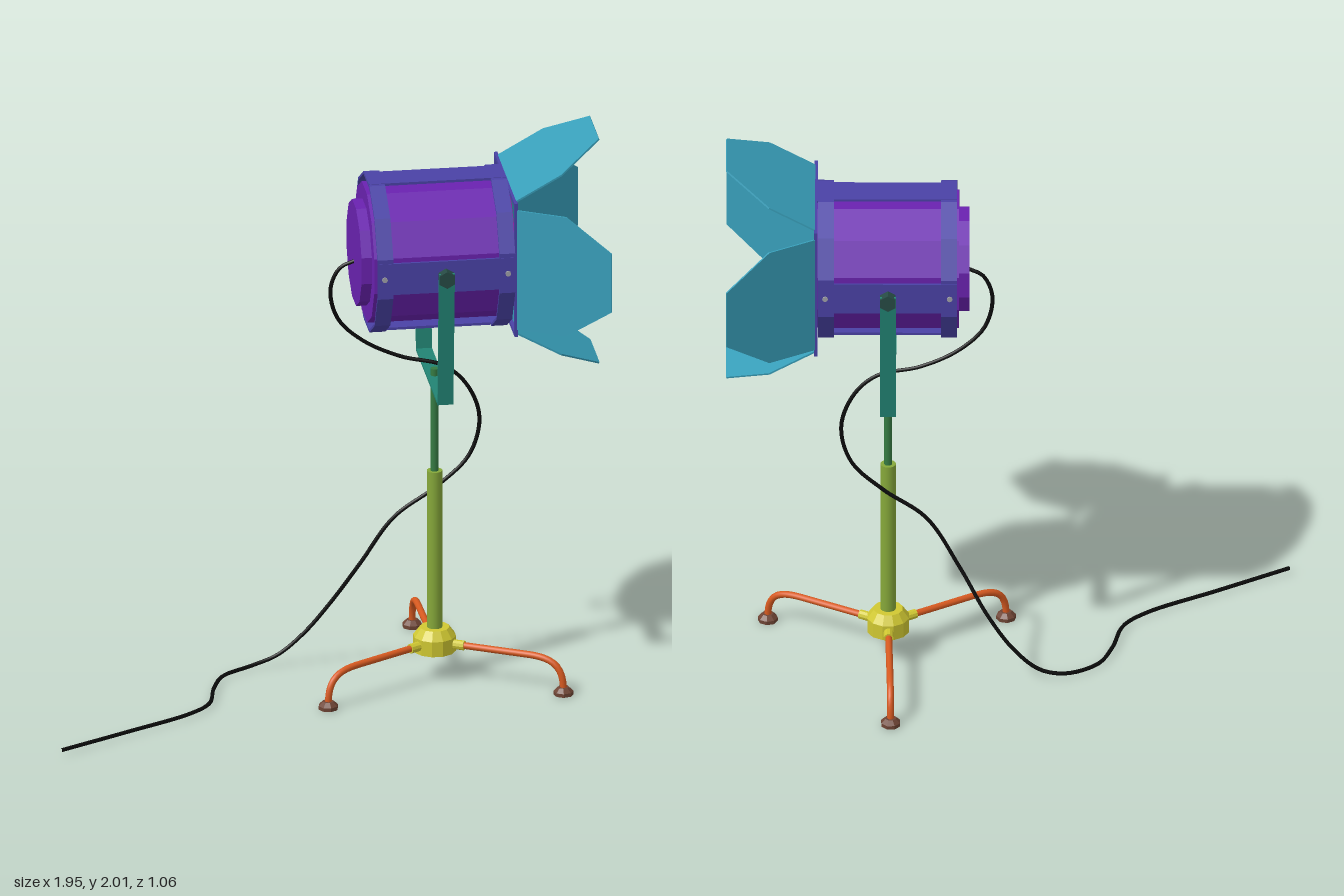
import * as THREE from 'three';

const mat = (color, flatShading = true) =>
  new THREE.MeshStandardMaterial({ color, flatShading });

const C = {
  housing: mat(0x6a22b0), frame: mat(0x4a42a6), lens: mat(0x961098), door: mat(0x389fba),
  yoke: mat(0x228474), bolt: mat(0x264a44), screw: mat(0xa0a0a8), tube: mat(0x86a83a, false),
  rod: mat(0x357a42, false), hub: mat(0xd0c832), leg: mat(0xd85a20, false),
  foot: mat(0x6e4434), cable: mat(0x0a0a0a, false),
};

function add(parent, name, geometry, material, x = 0, y = 0, z = 0) {
  const m = new THREE.Mesh(geometry, material);
  m.name = name;
  m.position.set(x, y, z);
  parent.add(m);
  return m;
}

// Turned shape from [radius, height] pairs; radius is measured to the flats
function turned(pairs, sides, flatsOnAxis = true) {
  const k = 1 / Math.cos(Math.PI / sides);
  const pts = pairs.map(([r, h]) => new THREE.Vector2(r * k, h));
  return new THREE.LatheGeometry(pts, sides, flatsOnAxis ? Math.PI / sides : 0);
}
const turnedX = (...args) => turned(...args).rotateZ(-Math.PI / 2);

function createLamp() {
  const lamp = new THREE.Group();
  lamp.name = 'lampHead';

  // Twelve-sided housing with a smaller rear cap, and the lens
  add(lamp, 'housing', turnedX([[0, 0.132], [0.18, 0.132], [0.18, 0.168],
    [0.238, 0.168], [0.238, 0.66], [0, 0.66]], 12), C.housing);
  add(lamp, 'lens', turnedX([[0.222, 0.655], [0.22, 0.665], [0, 0.665]], 12, false), C.lens);

  // Hoops standing off the housing
  for (const [a, b] of [[0.175, 0.23], [0.6, 0.655]])
    add(lamp, 'hoop', turnedX([[0.262, a], [0.271, a], [0.271, b], [0.262, b], [0.262, a]], 12), C.frame);

  // Four sides: strap, front frame bar and barn door
  const L = 0.352, shape = new THREE.Shape([
    [0, -0.221], [0.183, -0.221], [L, -0.108], [L, 0.108], [0.183, 0.221], [0, 0.221],
  ].map(p => new THREE.Vector2(...p)));
  const doorGeo = new THREE.ExtrudeGeometry(shape, { depth: 0.006, bevelEnabled: false })
    .translate(0, 0, -0.003).rotateX(Math.PI / 2);
  for (let i = 0; i < 4; i++) {
    const side = new THREE.Group();
    side.name = 'lampSide';
    side.rotation.x = i * Math.PI / 2;
    lamp.add(side);
    add(side, 'strap', new THREE.BoxGeometry(0.48, 0.009, 0.115), C.frame, 0.415, 0.268, 0);
    add(side, 'frontFrameBar', new THREE.BoxGeometry(0.012, 0.014, 0.494), C.frame, 0.662, 0.24, 0);
    add(side, 'barnDoor', doorGeo, C.door, 0.664, 0.243, 0).rotation.z = Math.atan2(0.172, 0.307);
    // Screws on the two straps beside the yoke
    if (i % 2) for (const x of [0.2, 0.63])
      add(side, 'screw', new THREE.CylinderGeometry(0.01, 0.01, 0.006, 8), C.screw, x, 0.274, 0);
  }
  return lamp;
}

function createYoke() {
  const yoke = new THREE.Group();
  yoke.name = 'yoke';
  add(yoke, 'yokeBase', new THREE.BoxGeometry(0.055, 0.009, 0.52), C.yoke, 0, 1.115, 0);
  for (const s of [-1, 1]) {
    add(yoke, 'yokeArm', new THREE.BoxGeometry(0.055, 0.5, 0.009), C.yoke, 0, 1.36, s * 0.276)
      .rotation.x = s * 0.076;
    add(yoke, 'pivotBolt', new THREE.CylinderGeometry(0.031, 0.031, 0.04, 6).rotateX(Math.PI / 2),
      C.bolt, 0, 1.59, s * 0.288);
  }
  return yoke;
}

function createStand() {
  const stand = new THREE.Group();
  stand.name = 'stand';
  add(stand, 'innerPole', new THREE.CylinderGeometry(0.014, 0.014, 0.4, 16), C.rod, 0, 0.945, 0);
  add(stand, 'outerPole', new THREE.CylinderGeometry(0.027, 0.027, 0.6, 16), C.tube, 0, 0.466, 0);
  add(stand, 'hub', turned([[0, 0.1], [0.072, 0.1], [0.072, 0.155], [0.05, 0.186], [0, 0.186]], 12), C.hub);

  // Leg path: straight out, then bent down to the foot
  const V = (x, y) => new THREE.Vector3(x, y, 0);
  const path = new THREE.CurvePath();
  path.add(new THREE.LineCurve3(V(0.05, 0.13), V(0.34, 0.13)));
  path.add(new THREE.CubicBezierCurve3(V(0.34, 0.13), V(0.43, 0.13), V(0.475, 0.11), V(0.475, 0.015)));
  const legGeo = new THREE.TubeGeometry(path, 28, 0.012, 10);
  for (let i = 0; i < 3; i++) {
    const leg = new THREE.Group();
    leg.name = 'leg';
    leg.rotation.y = Math.PI / 2 + 0.02 + i * Math.PI * 2 / 3;
    stand.add(leg);
    add(leg, 'legTube', legGeo, C.leg);
    add(leg, 'legCollar', new THREE.CylinderGeometry(0.017, 0.017, 0.05, 10).rotateZ(Math.PI / 2),
      C.hub, 0.085, 0.13, 0);
    add(leg, 'foot', turned([[0, 0], [0.032, 0], [0.032, 0.013], [0.018, 0.028], [0, 0.028]], 8),
      C.foot, 0.475, 0, 0);
  }
  return stand;
}

export function createModel() {
  const model = new THREE.Group();
  model.name = 'studioLamp';

  const lamp = createLamp();
  lamp.position.set(0, 1.59, -0.026);
  const yoke = createYoke(), stand = createStand();
  for (const g of [yoke, stand]) g.position.set(0.413, 0, -0.026);
  model.add(lamp, yoke, stand);

  // Power cable from the rear cap down to the floor
  const cable = new THREE.CatmullRomCurve3([
    [0.14, 1.557, -0.035], [0.085, 1.53, -0.04], [0.053, 1.45, -0.048], [0.08, 1.335, -0.058],
    [0.17, 1.245, -0.064], [0.3, 1.18, -0.065], [0.45, 1.14, -0.058], [0.53, 1.065, -0.058],
    [0.575, 0.94, -0.066], [0.54, 0.8, -0.07], [0.43, 0.69, -0.073], [0.28, 0.58, -0.08],
    [0.165, 0.4, -0.112], [0.07, 0.24, -0.165], [-0.02, 0.12, -0.192], [-0.11, 0.043, -0.198],
    [-0.2, 0.016, -0.18], [-0.31, 0.012, -0.11], [-0.36, 0.012, 0], [-0.4, 0.013, 0.15],
    [-0.48, 0.014, 0.235], [-0.72, 0.016, 0.378], [-0.97, 0.02, 0.525],
  ].map(p => new THREE.Vector3(...p)));
  add(model, 'cable', new THREE.TubeGeometry(cable, 160, 0.007, 8), C.cable);

  return model;
}
